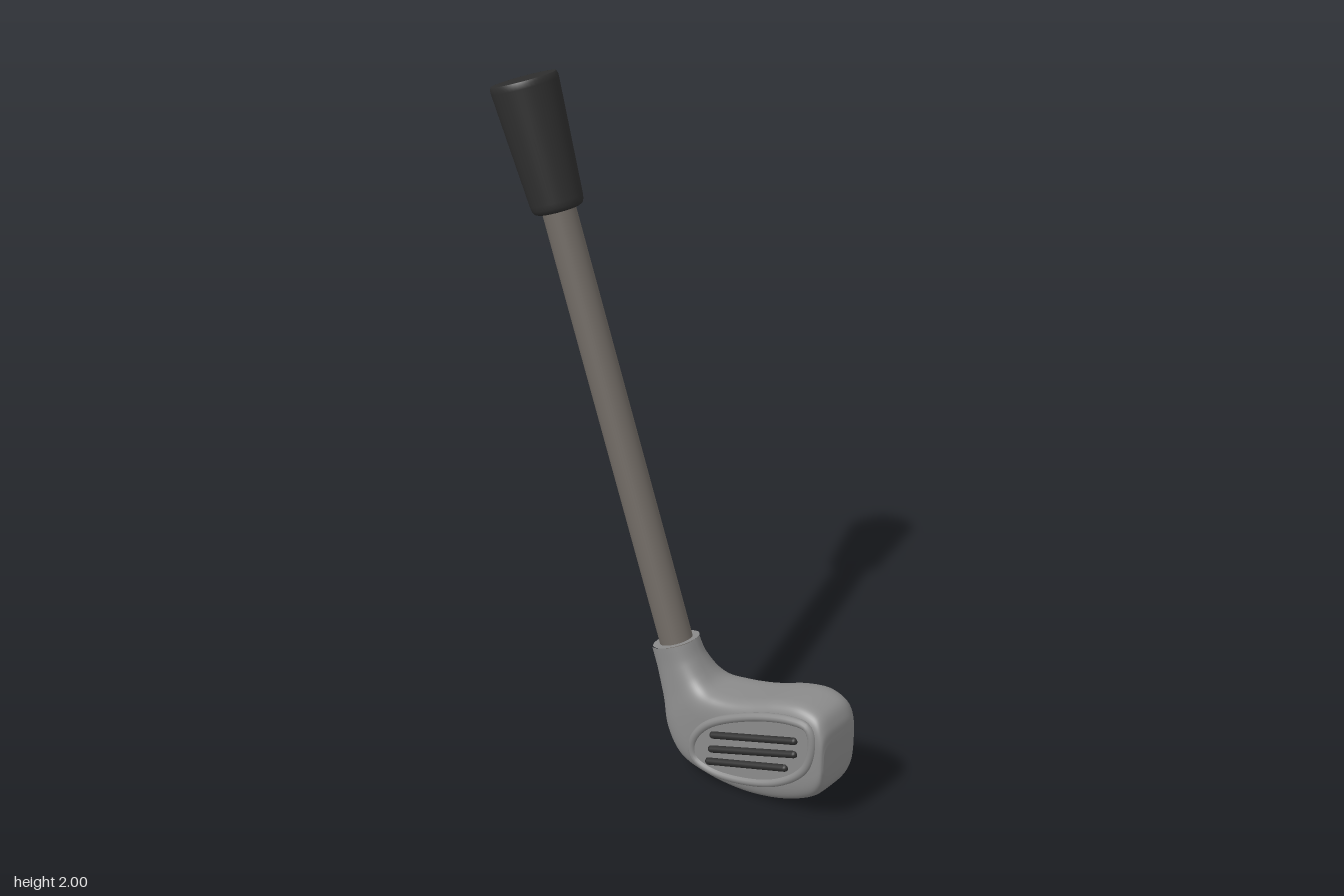
import * as THREE from 'three';

const metal = new THREE.MeshStandardMaterial({ color: 0x8b8b8b });
const steel = new THREE.MeshStandardMaterial({ color: 0x706a64 });
const rubber = new THREE.MeshStandardMaterial({ color: 0x2e2e2e });

function part(name, geometry, material, parent) {
  const mesh = new THREE.Mesh(geometry, material);
  mesh.name = name;
  parent.add(mesh);
  return mesh;
}

// Head: rounded sections swept from the hosel, round the heel, out to the toe.
// Each row: inner x, inner y, outer x, outer y, front depth, back depth, squareness
const SECTIONS = [
  [0.069, 0.399, -0.064, 0.355, 0.07, 0.07, 2],
  [0.09, 0.355, -0.042, 0.29, 0.07, 0.073, 2.1],
  [0.12, 0.312, -0.012, 0.2, 0.076, 0.09, 2.5],
  [0.15, 0.288, 0.015, 0.11, 0.085, 0.11, 3.2],
  [0.19, 0.282, 0.075, 0.038, 0.09, 0.127, 4],
  [0.25, 0.288, 0.18, 0.008, 0.09, 0.134, 4.4],
  [0.32, 0.307, 0.29, 0.0, 0.09, 0.134, 4.4],
  [0.4, 0.335, 0.39, 0.012, 0.09, 0.132, 4.4],
  [0.48, 0.35, 0.47, 0.036, 0.091, 0.125, 4.3],
  [0.545, 0.337, 0.535, 0.07, 0.092, 0.106, 4.1],
  [0.573, 0.3, 0.568, 0.11, 0.091, 0.082, 3.8],
  [0.58, 0.26, 0.578, 0.15, 0.082, 0.052, 3],
];

function headGeometry(rings = 66, sides = 64) {
  const inner = new THREE.CatmullRomCurve3(SECTIONS.map(s => new THREE.Vector3(s[0], s[1], s[4])), false, 'catmullrom');
  const outer = new THREE.CatmullRomCurve3(SECTIONS.map(s => new THREE.Vector3(s[2], s[3], s[5])), false, 'catmullrom');
  const power = (v, e) => Math.sign(v) * Math.abs(v) ** (2 / e);
  const pos = [], index = [];
  for (let i = 0; i <= rings; i++) {
    const t = i / rings, a = inner.getPoint(t), b = outer.getPoint(t);
    const k = t * (SECTIONS.length - 1), lo = Math.min(Math.floor(k), SECTIONS.length - 2);
    const e = THREE.MathUtils.lerp(SECTIONS[lo][6], SECTIONS[lo + 1][6], k - lo);
    for (let j = 0; j < sides; j++) {
      const angle = (j / sides) * Math.PI * 2, s = Math.sin(angle);
      const c = power(Math.cos(angle), s > 0 ? e * 1.15 : e * 0.9);
      const z = s > 0 ? a.z * power(s, e * 1.15) : b.z * power(s, e * 0.9);
      pos.push((a.x + b.x + c * (a.x - b.x)) / 2, (a.y + b.y + c * (a.y - b.y)) / 2, z);
      const n = (j + 1) % sides, p = i * sides;
      if (i < rings) index.push(p + j, p + n, p + sides + n, p + j, p + sides + n, p + sides + j);
    }
  }
  // toe cap
  const centre = pos.length / 3;
  pos.push(0.582, 0.205, 0);
  for (let j = 0; j < sides; j++) index.push(centre, rings * sides + j, rings * sides + (j + 1) % sides);
  const geo = new THREE.BufferGeometry();
  geo.setAttribute('position', new THREE.Float32BufferAttribute(pos, 3));
  geo.setIndex(index);
  geo.computeVertexNormals();
  return geo;
}

export function createModel() {
  const model = new THREE.Group();
  model.name = 'golfClub';

  // Everything is laid out with the toe along local x and the face along local z
  const club = new THREE.Group();
  club.name = 'club';
  club.rotation.y = -0.871;
  model.add(club);

  part('head', headGeometry(), metal, club);

  // Striking face: flat plate, rounded rim and three dark score bars
  const face = new THREE.Group();
  face.name = 'strikingFace';
  club.add(face);
  const outline = new THREE.CatmullRomCurve3([
    [0.135, 0.072], [0.21, 0.047], [0.41, 0.085], [0.52, 0.17], [0.542, 0.265],
    [0.525, 0.303], [0.47, 0.308], [0.32, 0.268], [0.175, 0.19], [0.128, 0.12],
  ].map(([x, y]) => new THREE.Vector3(x, y, 0.088)), true);
  const plate = new THREE.Shape(outline.getPoints(72).slice(0, -1).map(p => new THREE.Vector2(p.x, p.y)));
  part('facePlate', new THREE.ExtrudeGeometry(plate, { depth: 0.023, bevelEnabled: false }), metal, face).position.z = 0.07;
  part('faceRim', new THREE.TubeGeometry(outline, 96, 0.013, 12, true), metal, face);
  for (const [x1, y1, x2, y2] of [[0.205, 0.172, 0.485, 0.25], [0.2, 0.124, 0.485, 0.207], [0.19, 0.08, 0.455, 0.152]]) {
    const bar = part('scoreBar', new THREE.CapsuleGeometry(0.011, Math.hypot(x2 - x1, y2 - y1), 6, 12), rubber, face);
    bar.position.set((x1 + x2) / 2, (y1 + y2) / 2, 0.094);
    bar.rotation.z = Math.atan2(y2 - y1, x2 - x1) - Math.PI / 2;
  }

  // Shaft and grip lean back from the hosel
  const handle = new THREE.Group();
  handle.name = 'handle';
  handle.position.y = 0.385;
  handle.rotation.z = 0.322;
  club.add(handle);
  const cap = part('hoselCap', new THREE.CircleGeometry(0.07, 48), metal, handle);
  cap.position.y = -0.008;
  cap.rotation.x = -Math.PI / 2;
  part('shaft', new THREE.CylinderGeometry(0.049, 0.049, 1.4, 40), steel, handle).position.y = 0.65;
  const gripProfile = [
    [0, 1.292], [0.062, 1.292], [0.07, 1.296], [0.075, 1.306], [0.077, 1.32],
    [0.098, 1.65], [0.098, 1.662], [0.094, 1.67], [0.093, 1.67], [0, 1.67],
  ].map(([r, y]) => new THREE.Vector2(r, y));
  part('grip', new THREE.LatheGeometry(gripProfile, 48), rubber, handle);

  return model;
}
